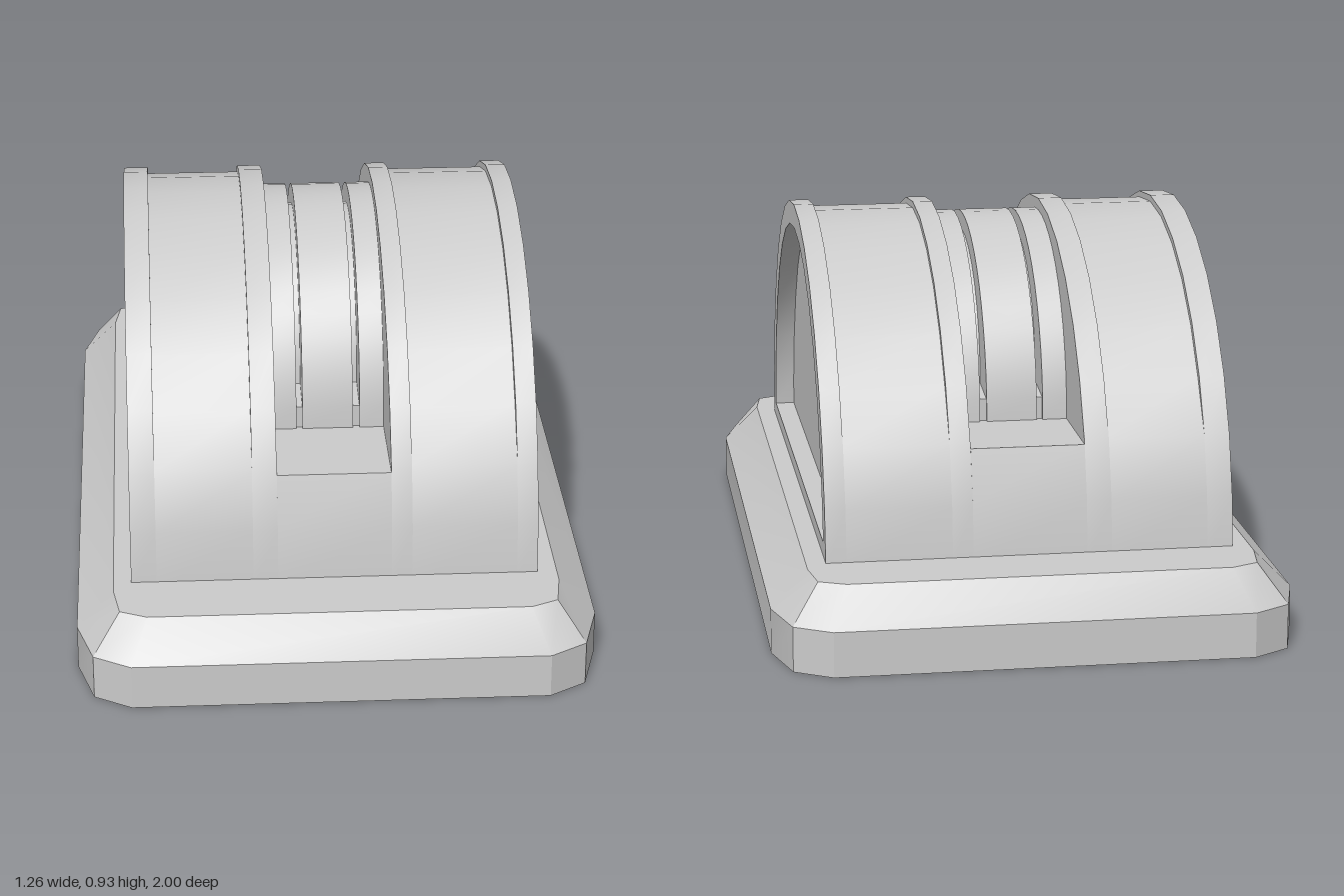
import * as THREE from 'three';
import { toCreasedNormals } from 'three/addons/utils/BufferGeometryUtils.js';

const material = new THREE.MeshStandardMaterial({ color: 0xcccccc });
const CY = 0.18; // height of the drum axis
const R = 0.75;

function addMesh(parent, name, geometry) {
  const mesh = new THREE.Mesh(toCreasedNormals(geometry, 0.45), material);
  mesh.name = name;
  parent.add(mesh);
}

// Points [z, y] on a half circle, running over the top from +z to -z
function arc(radiusAt, cy = CY, segments = 16) {
  return Array.from({ length: segments + 1 }, (_, i) => {
    const a = (i / segments) * Math.PI;
    const r = radiusAt(i);
    return new THREE.Vector2(Math.cos(a) * r, cy + Math.sin(a) * r);
  });
}

// Extrude a side profile across the model from x0 to x1
function slab(points, x0, x1, hole) {
  const shape = new THREE.Shape(points);
  if (hole) shape.holes.push(new THREE.Path(hole));
  const geometry = new THREE.ExtrudeGeometry(shape, { depth: x1 - x0, bevelEnabled: false });
  return geometry.rotateY(Math.PI / 2).translate(x0, 0, 0);
}

// Outline of the plinth with clipped, two-step corners
function plinthRing(corner, y) {
  const ring = [];
  for (const [sx, sz] of [[1, 1], [1, -1], [-1, -1], [-1, 1]]) {
    const points = corner.map(([x, z]) => new THREE.Vector3(x * sx, y, z * sz));
    ring.push(...(sx * sz > 0 ? points : points.reverse()));
  }
  return ring;
}

function plinthGeometry() {
  const outer = [[0.5, 1], [0.59, 0.945], [0.63, 0.8]];
  const inner = [[0.46, 0.92], [0.525, 0.89], [0.54, 0.79]];
  const rings = [plinthRing(outer, 0), plinthRing(outer, 0.11), plinthRing(inner, 0.2)];
  const n = rings[0].length;
  const points = [];
  for (let k = 0; k < 2; k++) {
    for (let i = 0; i < n; i++) {
      const j = (i + 1) % n;
      const [a, b, c, d] = [rings[k][i], rings[k][j], rings[k + 1][j], rings[k + 1][i]];
      points.push(a, b, c, a, c, d);
    }
  }
  for (let i = 1; i < n - 1; i++) {
    points.push(rings[0][0], rings[0][i + 1], rings[0][i]);
    points.push(rings[2][0], rings[2][i], rings[2][i + 1]);
  }
  return new THREE.BufferGeometry().setFromPoints(points);
}

export function createModel() {
  const group = new THREE.Group();
  addMesh(group, 'plinth', plinthGeometry());

  const full = arc(() => R);
  // Shallow band that blends back to full radius near both ends
  const sunken = arc((i) => (i > 2 && i < 14 ? R - 0.016 : R));

  // Opening of the recessed end panels
  const opening = arc(() => 0.69).slice(1, -1);
  const sill = 0.235;
  opening.unshift(new THREE.Vector2(0.688, sill));
  opening.push(new THREE.Vector2(-0.688, sill));

  const drum = new THREE.Group();
  drum.name = 'drum';
  group.add(drum);
  addMesh(drum, 'endRimRight', slab(full, -0.497, -0.435, opening));
  addMesh(drum, 'sunkenBandRight', slab(sunken, -0.435, -0.2));
  addMesh(drum, 'slotRimRight', slab(full, -0.2, -0.14));
  addMesh(drum, 'slotRimLeft', slab(full, 0.137, 0.187));
  addMesh(drum, 'sunkenBandLeft', slab(sunken, 0.187, 0.443));
  addMesh(drum, 'endRimLeft', slab(full, 0.443, 0.493, opening));

  // Solid below the central slot
  const floorY = 0.455;
  const floor = [
    ...full.slice(0, 2), new THREE.Vector2(0.698, floorY),
    new THREE.Vector2(-0.698, floorY), ...full.slice(-2),
  ];
  addMesh(drum, 'slotFloor', slab(floor, -0.14, 0.137));

  // Wheel in the slot: three treads separated by two narrow grooves
  const wheel = new THREE.Group();
  wheel.name = 'wheel';
  group.add(wheel);
  const tread = arc(() => 0.445, floorY, 24);
  for (const [x0, x1] of [[-0.14, -0.08], [-0.065, 0.06], [0.077, 0.137]]) {
    addMesh(wheel, 'wheelTread', slab(tread, x0, x1));
  }
  const core = [
    new THREE.Vector2(0.435, floorY), new THREE.Vector2(0.435, 0.51),
    ...arc(() => 0.33, 0.525),
    new THREE.Vector2(-0.435, 0.51), new THREE.Vector2(-0.435, floorY),
  ];
  for (const [x0, x1] of [[-0.08, -0.065], [0.06, 0.077]]) {
    addMesh(wheel, 'wheelGroove', slab(core, x0, x1));
  }
  return group;
}
